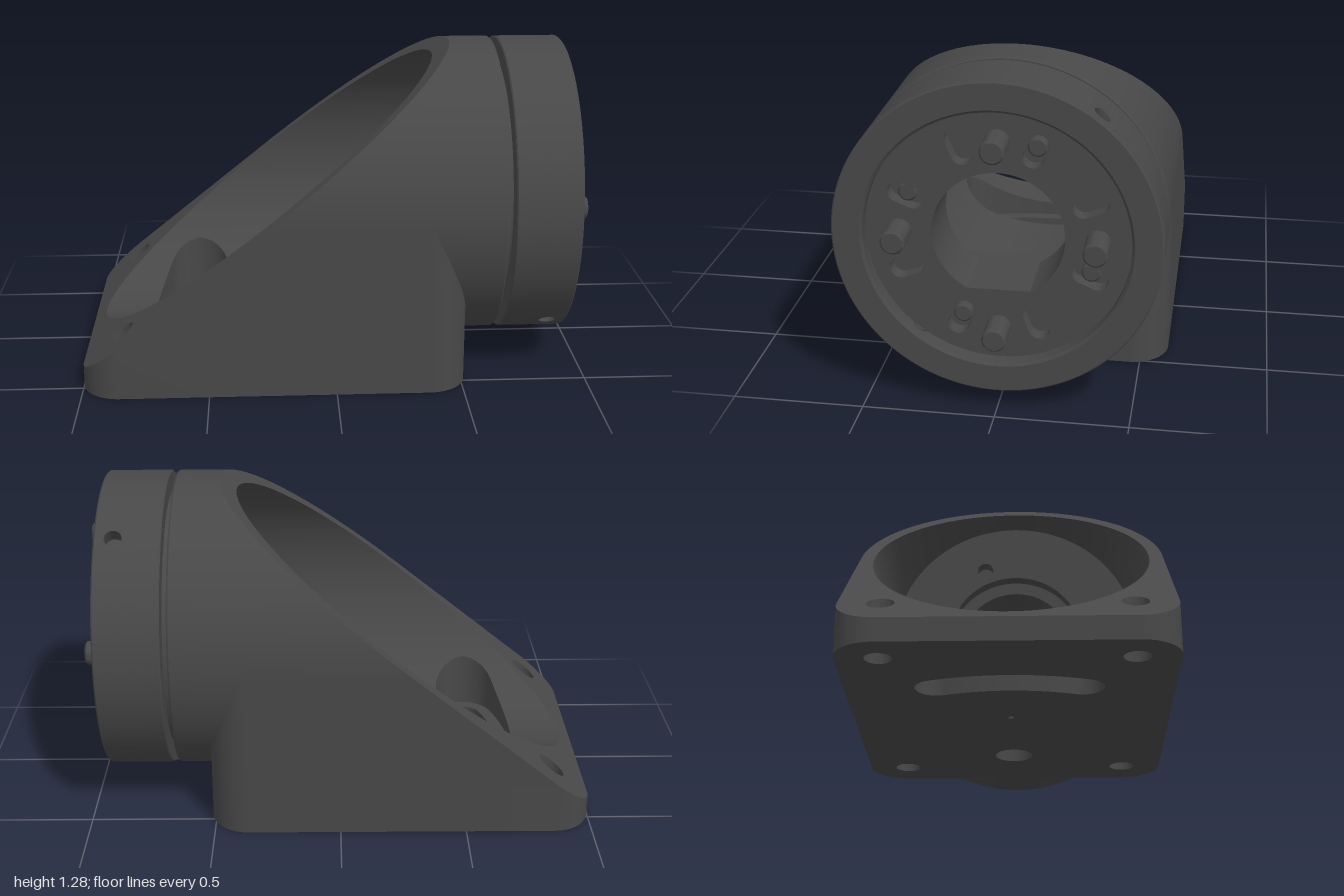
import * as THREE from 'three';
import { toCreasedNormals } from 'three/addons/utils/BufferGeometryUtils.js';

const R = 0.605, BORE = 0.55, CY = 0.68;            // barrel radius, bore radius, axis height
const planeY = x => 0.09 + 0.807 * (x + 1);         // slanted cut
const planeX = y => -1 + (y - 0.09) / 0.807;
const XM = planeX(CY);
const boreY = z => CY - Math.sqrt(Math.max(0, BORE * BORE - z * z));

export function createModel() {
  const model = new THREE.Group();
  const mat = new THREE.MeshStandardMaterial({ color: 0x484848, side: THREE.DoubleSide });
  const add = (name, geo, crease = 0.5) => {
    const m = new THREE.Mesh(toCreasedNormals(geo, crease), mat);
    m.name = name;
    model.add(m);
    return m;
  };

  // Surface between two rows of points
  const ribbon = (a, b) => {
    const pos = [], idx = [];
    a.forEach((p, i) => pos.push(...p, ...b[i]));
    for (let i = 0; i < a.length - 1; i++) {
      const k = 2 * i;
      idx.push(k, k + 2, k + 1, k + 1, k + 2, k + 3);
    }
    const g = new THREE.BufferGeometry();
    g.setAttribute('position', new THREE.Float32BufferAttribute(pos, 3));
    g.setIndex(idx);
    return g;
  };
  // Vertical wall over an outline in (x, z)
  const wall = (name, pts, bottom, top) => {
    const c = [...pts, pts[0]];
    add(name, ribbon(c.map(p => [p.x, bottom, p.y]), c.map(p => [p.x, top(p.x, p.y), p.y])));
  };
  // Face with holes, laid over the height rule y(x)
  const sheet = (name, outline, holes, height) => {
    const s = new THREE.Shape(outline);
    s.holes = holes.map(h => new THREE.Path(h));
    const g = new THREE.ShapeGeometry(s), p = g.attributes.position;
    for (let i = 0; i < p.count; i++) p.setXYZ(i, p.getX(i), height(p.getX(i)), p.getY(i));
    add(name, g);
  };
  const circle = (x, z, r, n = 40, rz = r) => Array.from({ length: n }, (_, i) => {
    const a = i / n * Math.PI * 2;
    return new THREE.Vector2(x + r * Math.cos(a), z + rz * Math.sin(a));
  });

  // Rounded footprint of the base
  const fp = new THREE.Shape(), c = 0.15, X = 0.515;
  fp.moveTo(XM, -R);
  fp.lineTo(-1 + c, -R);
  fp.absarc(-1 + c, -R + c, c, -Math.PI / 2, -Math.PI, true);
  fp.absarc(-1 + c, R - c, c, Math.PI, Math.PI / 2, true);
  fp.lineTo(XM, R);
  fp.absarc(X - c, R - c, c, Math.PI / 2, 0, true);
  for (let i = 1; i < 24; i++) fp.lineTo(X, (R - c) * (1 - i / 12));
  fp.absarc(X - c, -R + c, c, 0, -Math.PI / 2, true);
  const foot = fp.getPoints(14);
  wall('baseSides', foot, 0, (x, z) => x > X - c - 0.001
    ? Math.min(CY, CY - Math.sqrt(Math.max(0, R * R - z * z)) + 0.015) : Math.min(CY, planeY(x)));

  // Curved adjustment slot, centred on the pivot hole
  const PX = 0.21, RS = 0.82, SA = 0.335;
  const slot = h => {
    const s = new THREE.Path(), ex = PX - RS * Math.cos(SA), ez = RS * Math.sin(SA);
    s.absarc(PX, 0, RS + h, Math.PI - SA, Math.PI + SA, false);
    s.absarc(ex, -ez, h, Math.PI + SA, 2 * Math.PI + SA, false);
    s.absarc(PX, 0, RS - h, Math.PI + SA, Math.PI - SA, true);
    s.absarc(ex, ez, h, -SA, Math.PI - SA, false);
    return s.getPoints(24);
  };
  const slotIn = slot(0.077), slotOut = slot(0.128);
  const pivotIn = circle(PX, 0, 0.075), pivotOut = circle(PX, 0, 0.137);
  const pin = circle(-0.245, 0, 0.012, 16);
  const front = [-0.45, 0.45].map(z => circle(-0.85, z, 0.05));
  const rear = [-0.45, 0.45].map(z => circle(0.36, z, 0.05));

  // Underside, and the holes through the floor
  sheet('underside', foot, [slotIn, pivotIn, pin, ...front, ...rear], () => 0);
  front.forEach(h => wall('mountingHole', h, 0, planeY));
  rear.forEach(h => {
    wall('blindHole', h, 0, () => 0.18);
    sheet('blindHoleEnd', h, [], () => 0.18);
  });
  wall('centreHole', pin, 0, () => 0.13);
  [['slot', slotIn, slotOut], ['pivot', pivotIn, pivotOut]].forEach(([n, inner, outer]) => {
    wall(n + 'Hole', inner, 0, () => 0.07);
    sheet(n + 'Ledge', outer, [inner], () => 0.07);
    wall(n + 'Counterbore', outer, 0.07, (x, z) => boreY(z));
  });

  // Slanted rim around the bore opening
  const i0 = foot.findIndex((p, i) => i > 2 && p.x > XM - 0.001);
  const rim = foot.slice(0, i0 + 1);
  for (let i = 1; i < 64; i++) {
    const a = Math.PI * i / 64;
    rim.push(new THREE.Vector2(planeX(CY + R * Math.sin(a)), R * Math.cos(a)));
  }
  sheet('slantedRim', rim, [circle(XM, 0, BORE / 0.807, 120, BORE), ...front], planeY);

  // Barrel outside
  const a1 = [], a2 = [];
  for (let i = 0; i <= 128; i++) {
    const a = i / 128 * Math.PI * 2, y = CY + R * Math.sin(a), z = R * Math.cos(a);
    a1.push([i <= 64 ? planeX(y) : 0.365, y, z]);
    a2.push([0.65, y, z]);
  }
  [[0, 65], [64, 129]].forEach(([s, e]) => add('barrel', ribbon(a1.slice(s, e), a2.slice(s, e))));

  // Bore, in three bands that leave room for the floor openings
  const span = (pts, z, mid) => {
    const xs = [];
    pts.forEach((p, i) => {
      const q = pts[(i + 1) % pts.length];
      if ((p.y > z) !== (q.y > z)) xs.push(p.x + (z - p.y) / (q.y - p.y) * (q.x - p.x));
    });
    return xs.length ? [Math.min(...xs), Math.max(...xs)] : [mid, mid];
  };
  const END = 0.56, cols = [[], [], [], [], [], []];
  for (let i = 0; i <= 720; i++) {
    const a = i / 720 * Math.PI * 2, y = CY + BORE * Math.sin(a), z = BORE * Math.cos(a);
    const x0 = planeX(y), low = a > Math.PI;
    const s = low ? span(slotOut, z, -0.57) : [x0, x0];
    const p = low ? span(pivotOut, z, PX) : [x0, x0];
    [x0, s[0], s[1], p[0], p[1], END].forEach((x, k) => cols[k].push([Math.max(x, x0), y, z]));
  }
  for (let k = 0; k < 6; k += 2) add('bore', ribbon(cols[k], cols[k + 1]), 0.3);

  // Turned rings: groove and flange, drawn as radius and x
  const turn = (name, pts, start = 0, len = Math.PI * 2) => {
    const g = new THREE.LatheGeometry(pts.map(p => new THREE.Vector2(...p)), 128, start, len);
    add(name, g.rotateZ(-Math.PI / 2).translate(0, CY, 0));
  };
  turn('groove', [[R, 0.65], [R - 0.005, 0.657], [0.52, 0.657], [0.52, 0.682], [R - 0.005, 0.682],
    [R, 0.687], [R, 0.82]]);
  turn('flangeRim', [[R, 0.91], [R, 0.934], [R - 0.006, 0.94], [0.5, 0.94], [0.49, 0.93], [0.49, 0.87]]);

  // Flange band with two radial set screw holes
  const PHI = 0.914;
  for (let k = 0; k < 2; k++) {
    const f = PHI + k * Math.PI;
    turn('flangeBand', [[R, 0.82], [R, 0.91]], f + 0.08, Math.PI - 0.16);
    const w = 0.08 * R, s = new THREE.Shape();
    s.moveTo(-w, 0.82).lineTo(w, 0.82).lineTo(w, 0.91).lineTo(-w, 0.91);
    s.holes.push(new THREE.Path(circle(0, 0.865, 0.034, 28)));
    const g = new THREE.ShapeGeometry(s), p = g.attributes.position;
    for (let i = 0; i < p.count; i++) {
      const a = f + p.getX(i) / R;
      p.setXYZ(i, p.getY(i), CY - R * Math.sin(a), R * Math.cos(a));
    }
    add('setScrewPatch', g);
    const dir = new THREE.Vector3(0, -Math.sin(f), Math.cos(f));
    [['setScrewHole', 0.12, 0.545, true], ['setScrew', 0.02, 0.535, false]].forEach(([n, h, d, open]) => {
      const m = add(n, new THREE.CylinderGeometry(0.034, 0.034, h, 28, 1, open));
      m.quaternion.setFromUnitVectors(new THREE.Vector3(0, 1, 0), dir);
      m.position.set(0.865, CY, 0).addScaledVector(dir, d);
    });
  }

  // End plate in layers; u runs toward -z, v is up from the axis
  const plate = (name, r, x0, x1, hole, extra = []) => {
    const s = new THREE.Shape().absarc(0, 0, r, 0, Math.PI * 2);
    const h = new THREE.Path(), t = Math.asin(-0.215 / hole);
    h.absarc(0, 0, hole, t, Math.PI - t, false);
    h.closePath();
    s.holes = [h, ...extra];
    const g = new THREE.ExtrudeGeometry(s, { depth: x1 - x0, bevelEnabled: false, curveSegments: 48 });
    add(name, g.rotateY(Math.PI / 2).translate(x0, CY, 0));
  };
  const eighth = k => (k + 0.5) * Math.PI / 4;
  const slots = [], backHoles = [];
  for (let k = 0; k < 8; k++) {
    const a = eighth(k), h = 0.04, s = new THREE.Path();
    s.absarc(0.395 * Math.cos(a), 0.395 * Math.sin(a), h, a - Math.PI / 2, a + Math.PI / 2, false);
    s.absarc(0.335 * Math.cos(a), 0.335 * Math.sin(a), h, a + Math.PI / 2, a + Math.PI * 1.5, false);
    s.closePath();
    slots.push(s);
    if (k % 2 === 0) backHoles.push(new THREE.Path(circle(-0.365 * Math.cos(a), 0.365 * Math.sin(a), 0.037, 24)));
  }
  plate('innerWall', BORE, END, 0.62, 0.3, backHoles);
  plate('core', 0.515, 0.62, 0.82, 0.245);
  plate('slottedPlate', 0.495, 0.82, 0.88, 0.245, slots);

  // Drive pins and the small screws sunk in alternate slots
  const peg = (name, a, r, x0, x1) => {
    const b = 0.008, l = x1 - x0;
    const g = new THREE.LatheGeometry([[0, 0], [r, 0], [r, l - b], [r - b, l], [0, l]]
      .map(p => new THREE.Vector2(...p)), 32);
    add(name, g.rotateZ(-Math.PI / 2)).position.set(x0, CY + 0.365 * Math.sin(a), -0.365 * Math.cos(a));
  };
  for (let k = 0; k < 4; k++) {
    peg('drivePin', k * Math.PI / 2, 0.046, 0.86, 1);
    peg('slotScrew', eighth(2 * k + 1), 0.037, 0.81, 0.85);
  }
  return model;
}
